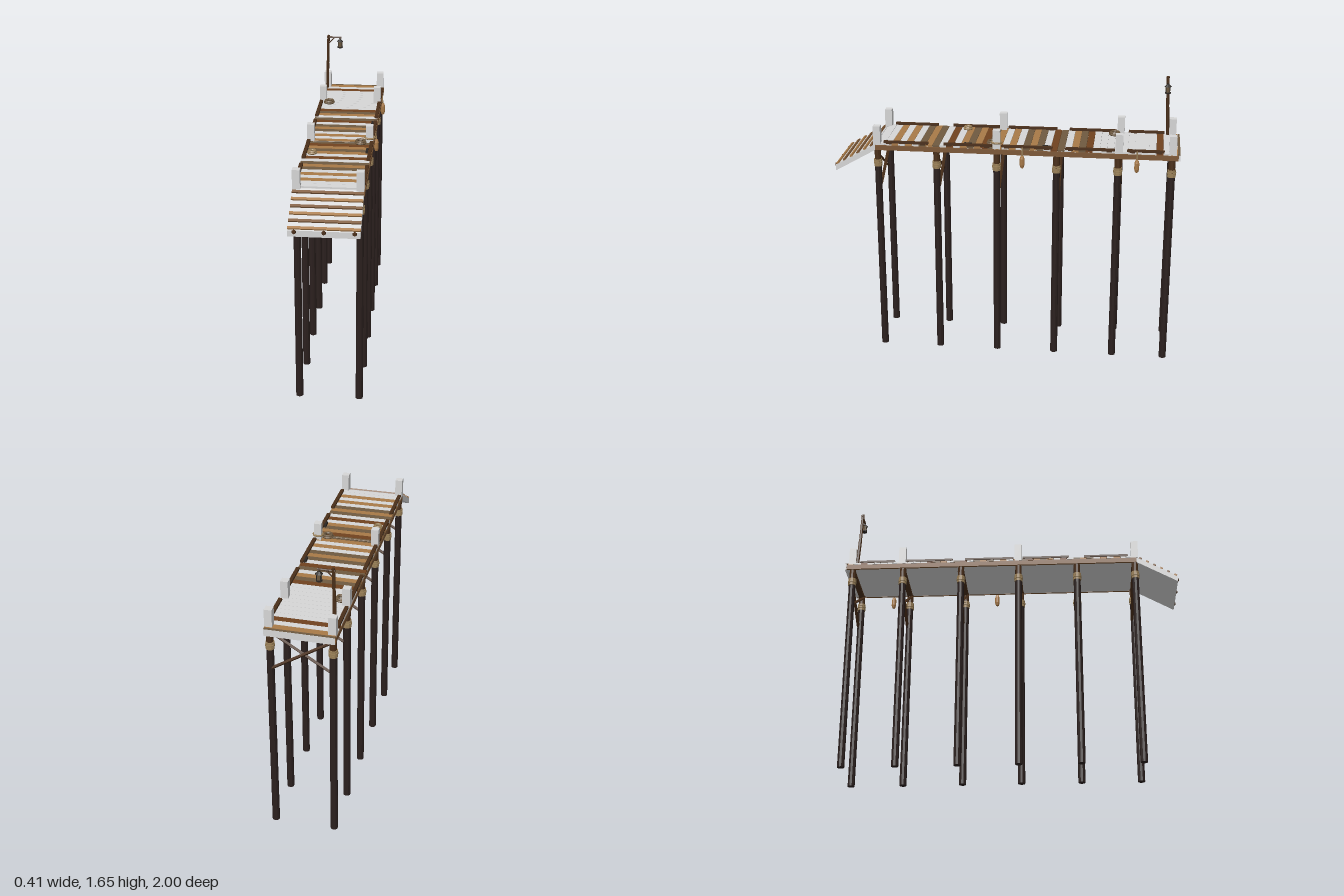
import * as THREE from 'three';

const mat = (name, color) => {
  const m = new THREE.MeshStandardMaterial({ color, flatShading: true });
  m.name = name;
  return m;
};

export function createModel() {
  const root = new THREE.Group();
  root.name = 'pier';
  const paleWood = mat('paleWood', 0xd6d6d6);
  const tanWood = mat('tanWood', 0xa87a48);
  const rustWood = mat('rustWood', 0x70421f);
  const dullWood = mat('dullWood', 0x6f5a40);
  const beamWood = mat('beamWood', 0x7d5836);
  const darkWood = mat('darkWood', 0x4a2f1a);
  const pileWood = mat('pileWood', 0x2b201e);
  const rope = mat('rope', 0x9a8058);
  const iron = mat('iron', 0x2c2723);

  const add = (name, geo, material, x, y, z) => {
    const mesh = new THREE.Mesh(geo, material);
    mesh.name = name;
    mesh.position.set(x, y, z);
    root.add(mesh);
    return mesh;
  };
  const box = (name, m, w, h, d, x, y, z) => add(name, new THREE.BoxGeometry(w, h, d), m, x, y, z);
  const cyl = (name, m, r0, r1, h, x, y, z, n = 8) =>
    add(name, new THREE.CylinderGeometry(r0, r1, h, n), m, x, y, z);
  // Square or round bar between two points
  const bar = (name, m, a, b, r, n = 6) => {
    const p = new THREE.Vector3(...a), q = new THREE.Vector3(...b);
    const mid = p.clone().add(q).multiplyScalar(0.5);
    const mesh = cyl(name, m, r, r, p.distanceTo(q), mid.x, mid.y, mid.z, n);
    mesh.quaternion.setFromUnitVectors(new THREE.Vector3(0, 1, 0), q.sub(p).normalize());
    return mesh;
  };

  const CX = -0.01, W = 0.38;
  const sides = [-0.18, 0.16];
  const bents = [0.74, 0.395, 0.045, -0.3, -0.65, -0.955];

  // Deck slab with side stringers
  box('deckSlab', paleWood, W - 0.01, 0.03, 1.755, CX, 1.267, -0.1225);
  for (const x of [-0.196, 0.178])
    box('sideBeam', beamWood, 0.012, 0.028, 1.74, x, 1.265, -0.12);
  box('endBoard', paleWood, W, 0.04, 0.006, CX, 1.268, -0.997);
  box('endPlank', dullWood, W, 0.009, 0.013, CX, 1.2865, -0.9925);

  // Deck boards: one letter per plank, from the back to the front
  const woods = { T: tanWood, G: paleWood, R: rustWood, D: dullWood };
  [...'TGRGGGGGGGGGRDTGDRGDTDGTGTDRTDTGRGDTDGTGTGG'].forEach((c, i) => {
    box('deckBoard', woods[c], W, 0.01, 0.0385, CX, 1.286, -0.965 + i * 0.04);
  });

  // Piles, collars and cross bracing
  for (const z of bents) {
    for (const x of sides) {
      cyl('pile', pileWood, 0.02, 0.021, 1.16, x, 0.58, z, 10);
      cyl('pileHead', darkWood, 0.019, 0.019, 0.1, x, 1.21, z, 10);
      for (const [y, r] of [[1.155, 0.024], [1.17, 0.026], [1.185, 0.024]])
        cyl('pileCollar', rope, r, r, 0.013, x, y, z, 10);
    }
    bar('crossBrace', darkWood, [-0.17, 1.035, z + 0.012], [0.15, 1.235, z + 0.012], 0.009, 4);
    bar('crossBrace', darkWood, [0.15, 1.035, z - 0.012], [-0.17, 1.235, z - 0.012], 0.009, 4);
    box('crossBeam', darkWood, 0.35, 0.022, 0.03, CX, 1.243, z);
  }

  // Square posts above the deck
  for (const z of [0.74, 0.045, -0.655, -0.957])
    for (const x of sides) box('deckPost', paleWood, 0.042, 0.11, 0.042, x, 1.337, z);

  // Edge rails in sections, on small blocks
  for (const [z0, z1] of [[0.7, 0.44], [0.35, 0.07], [0.016, -0.275], [-0.35, -0.63], [-0.7, -0.91]])
    for (const x of [-0.19, 0.174]) {
      box('edgeRail', darkWood, 0.02, 0.012, z0 - z1, x, 1.3, (z0 + z1) / 2);
      for (const z of [z0 - 0.03, z1 + 0.03]) box('railBlock', darkWood, 0.016, 0.008, 0.03, x, 1.292, z);
    }
  for (const z of [0.21, -0.24]) box('mooringCleat', iron, 0.012, 0.016, 0.045, 0.157, 1.299, z);

  // Sloping ramp with cleats and bolts
  const side = new THREE.Shape([[0.75, 1.285], [0.75, 1.25], [0.988, 1.115], [0.988, 1.15]]
    .map(([z, y]) => new THREE.Vector2(z, y)));
  const rampGeo = new THREE.ExtrudeGeometry(side, { depth: W, bevelEnabled: false });
  rampGeo.rotateY(-Math.PI / 2);
  add('ramp', rampGeo, paleWood, 0.18, 0, 0);
  for (let i = 0; i < 6; i++) {
    const t = 0.1 + i * 0.172;
    const cleat = box('rampCleat', i % 2 ? tanWood : beamWood, W, 0.012, 0.016,
      CX, 1.289 - 0.135 * t, 0.75 + 0.236 * t);
    cleat.rotation.x = 0.52;
  }
  for (const x of [-0.165, -0.01, 0.15]) {
    const bolt = cyl('rampBolt', darkWood, 0.009, 0.013, 0.012, x, 1.142, 0.992, 6);
    bolt.rotation.x = Math.PI / 2;
  }

  // Coiled ropes on the deck
  for (const [x, z, r, m] of [[-0.14, -0.62, 0.028, dullWood], [-0.15, 0.255, 0.022, rope], [0.11, 0.075, 0.028, dullWood]])
    for (let k = 0; k < 2; k++) {
      const coil = add('ropeCoil', new THREE.TorusGeometry(r - k * 0.004, 0.007, 6, 18), m, x, 1.297 + k * 0.009, z);
      coil.rotation.x = Math.PI / 2;
    }
  bar('looseRope', dullWood, [-0.16, 1.294, 0.07], [0.085, 1.294, 0.07], 0.004);
  const wrap = add('postRope', new THREE.TorusGeometry(0.029, 0.006, 6, 8), rope, 0.16, 1.318, 0.045);
  wrap.rotation.x = Math.PI / 2;

  // Hanging fenders
  const fender = [[0, -0.04], [0.009, -0.036], [0.014, -0.018], [0.014, 0.018], [0.009, 0.034], [0, 0.038]]
    .map(([r, y]) => new THREE.Vector2(r, y));
  for (const z of [-0.105, -0.757]) {
    add('fender', new THREE.LatheGeometry(fender, 10), tanWood, 0.191, 1.215, z);
    bar('fenderRope', rope, [0.191, 1.25, z], [0.186, 1.3, z], 0.004);
  }

  // Leaning lamp post with bracket and lantern
  bar('lampPost', darkWood, [-0.182, 1.285, -0.93], [-0.178, 1.46, -0.921], 0.01);
  bar('lampPost', darkWood, [-0.178, 1.45, -0.921], [-0.172, 1.645, -0.915], 0.009);
  bar('lampArm', darkWood, [-0.182, 1.632, -0.916], [-0.09, 1.632, -0.916], 0.006);
  bar('lampBracket', darkWood, [-0.174, 1.59, -0.916], [-0.135, 1.63, -0.916], 0.004);
  bar('lanternHook', iron, [-0.098, 1.632, -0.916], [-0.098, 1.612, -0.916], 0.003);
  cyl('lanternRoof', iron, 0.006, 0.021, 0.014, -0.098, 1.612, -0.916);
  cyl('lanternGlass', dullWood, 0.015, 0.013, 0.034, -0.098, 1.588, -0.916);
  cyl('lanternBase', iron, 0.017, 0.017, 0.008, -0.098, 1.568, -0.916);
  for (let i = 0; i < 4; i++) {
    const a = (i + 0.5) * Math.PI / 2;
    box('lanternBar', iron, 0.004, 0.036, 0.004, -0.098 + 0.015 * Math.cos(a), 1.588, -0.916 + 0.015 * Math.sin(a));
  }
  return root;
}
